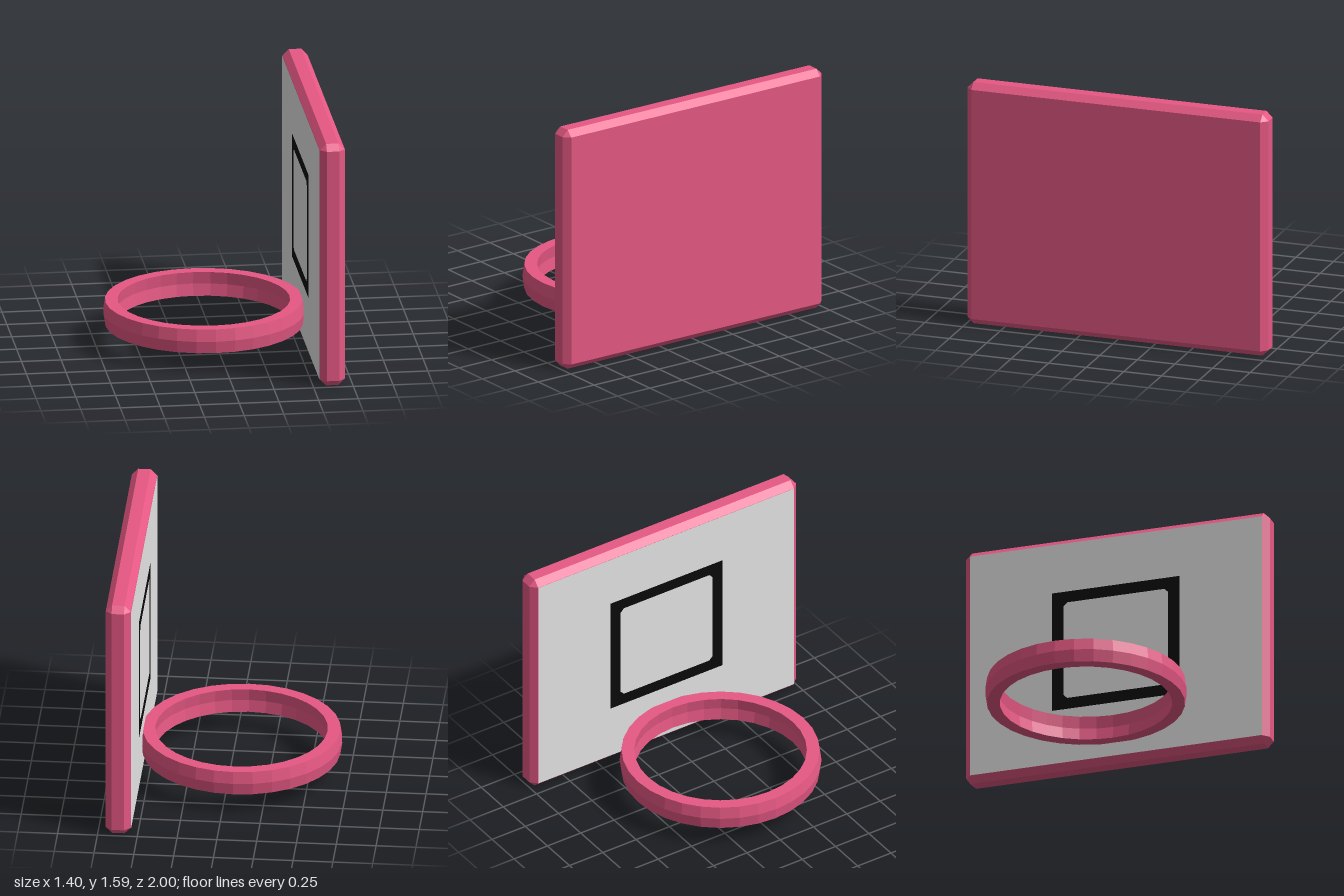
import * as THREE from 'three';
import { ConvexGeometry } from 'three/addons/geometries/ConvexGeometry.js';

const pink = new THREE.MeshStandardMaterial({ name: 'pink', color: 0xe65884 });
const paleGrey = new THREE.MeshStandardMaterial({ name: 'pale grey', color: 0xe6e6e6 });
const black = new THREE.MeshStandardMaterial({ name: 'black', color: 0x0a0a0a });

// Box with every edge and corner cut off by c
function chamferBox(w, h, d, c) {
  const points = [];
  for (const sx of [-1, 1]) for (const sy of [-1, 1]) for (const sz of [-1, 1]) {
    for (let axis = 0; axis < 3; axis++) {
      const inset = [0, 1, 2].map((i) => (i === axis ? 0 : c));
      points.push(new THREE.Vector3(
        sx * (w / 2 - inset[0]), sy * (h / 2 - inset[1]), sz * (d / 2 - inset[2])));
    }
  }
  return new ConvexGeometry(points);
}

export function createModel() {
  const group = new THREE.Group();
  group.name = 'basketballHoop';
  const add = (name, geometry, material, x, y, z = 0) => {
    const mesh = new THREE.Mesh(geometry, material);
    mesh.name = name;
    mesh.position.set(x, y, z);
    group.add(mesh);
  };

  const boardX = 0.622, boardY = 0.795, faceX = 0.543;

  // Backboard slab
  add('backboard', chamferBox(0.158, 1.59, 2, 0.04), pink, boardX, boardY);

  // Pale face on the hoop side
  add('backboardFace', new THREE.PlaneGeometry(1.92, 1.51).rotateY(-Math.PI / 2),
    paleGrey, faceX - 0.002, boardY);

  // Painted target square with clipped inner corners
  const frame = new THREE.Shape([[-0.42, -0.405], [0.42, -0.405], [0.42, 0.405], [-0.42, 0.405]]
    .map(([x, y]) => new THREE.Vector2(x, y)));
  const w = 0.345, h = 0.33, c = 0.025;
  frame.holes.push(new THREE.Path([
    [-w + c, -h], [w - c, -h], [w, -h + c], [w, h - c],
    [w - c, h], [-w + c, h], [-w, h - c], [-w, -h + c],
  ].map(([x, y]) => new THREE.Vector2(x, y))));
  add('targetSquare', new THREE.ShapeGeometry(frame).rotateY(-Math.PI / 2),
    black, faceX - 0.006, 0.81);

  // Faceted hoop, bowed outward at mid height
  const profile = [[0.62, -0.078], [0.632, 0], [0.62, 0.078],
    [0.54, 0.078], [0.55, 0], [0.54, -0.078], [0.62, -0.078]]
    .map(([r, y]) => new THREE.Vector2(r, y));
  const hoop = new THREE.LatheGeometry(profile, 32).toNonIndexed();
  hoop.computeVertexNormals();
  add('hoop', hoop, pink, -0.07, 0.207, 0.003);

  return group;
}
